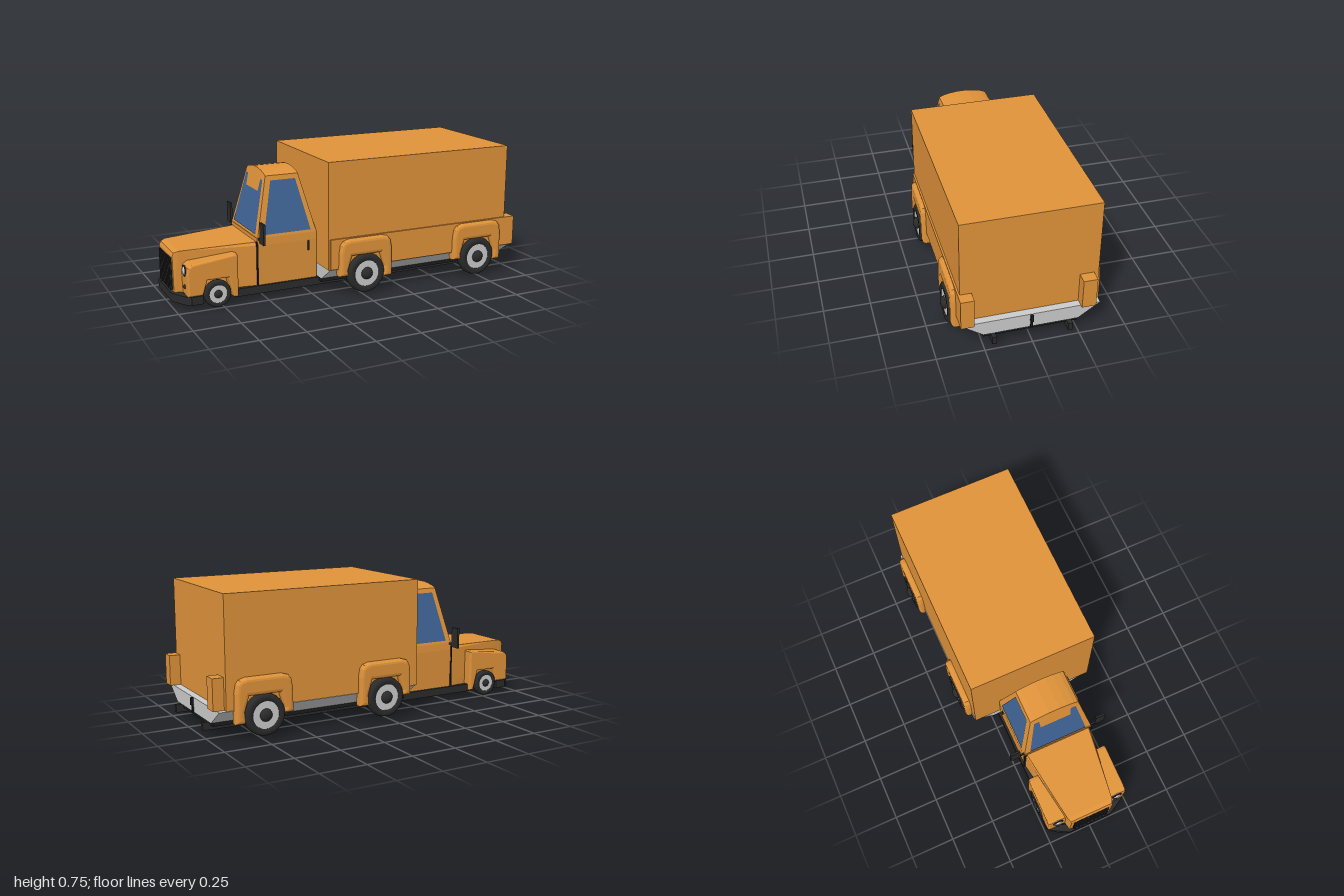
import * as THREE from 'three';
import { ConvexGeometry } from 'three/addons/geometries/ConvexGeometry.js';

const mat = (color, extra = {}) => new THREE.MeshStandardMaterial({ color, ...extra });
const orange = mat(0xe0933a), orangeFlat = mat(0xe0933a, { flatShading: true });
const dark = mat(0x2b2b2b), black = mat(0x1c1c1c), grey = mat(0xcccccc);
const glass = mat(0x3f6496, { side: THREE.DoubleSide });

export function createModel() {
  const truck = new THREE.Group();
  truck.name = 'boxTruck';

  const add = (name, geometry, material, parent = truck) => {
    const mesh = new THREE.Mesh(geometry, material);
    mesh.name = name;
    parent.add(mesh);
    return mesh;
  };
  // Box given by its extents on each axis
  const box = (name, [x0, x1], [y0, y1], [z0, z1], material) =>
    add(name, new THREE.BoxGeometry(x1 - x0, y1 - y0, z1 - z0), material)
      .position.set((x0 + x1) / 2, (y0 + y1) / 2, (z0 + z1) / 2);
  // Convex solid from half its corners, mirrored across z
  const hull = (name, points, material) => add(name, new ConvexGeometry(
    points.flatMap(([x, y, z]) => [new THREE.Vector3(x, y, z), new THREE.Vector3(x, y, -z)])), material);
  const quad = (name, points, material) => {
    const g = new THREE.BufferGeometry();
    g.setAttribute('position', new THREE.Float32BufferAttribute(points.flat(), 3));
    g.setIndex([0, 1, 2, 0, 2, 3]);
    g.computeVertexNormals();
    return add(name, g, material);
  };
  const outline = (points) => new THREE.Shape(points.map(([x, y]) => new THREE.Vector2(x, y)));

  // Cargo box and bed
  box('cargoBox', [-0.2, 0.93], [0.16, 0.75], [-0.36, 0.36], orange);
  box('leftSideRail', [-0.19, 0.99], [0.162, 0.33], [0.3, 0.37], orange);
  box('rightSideRail', [-0.19, 0.99], [0.162, 0.33], [-0.335, -0.26], orange);
  hull('bed', [-0.19, 0.97].flatMap((x) => [[x, 0.161, 0.365], [x, 0.08, 0.25]]), grey);
  box('tailStrip', [0.965, 0.978], [0.08, 0.16], [-0.006, 0.006], black);
  box('tailLatch', [0.97, 0.985], [0.12, 0.16], [-0.007, 0.007], black);

  // Chassis
  box('underPlate', [-0.19, 0.96], [0.06, 0.082], [-0.25, 0.25], black);
  for (const s of [1, -1]) {
    const z = s * 0.2;
    box('chassisRail', [-0.68, 1], [0.035, 0.078], [z - 0.012, z + 0.012], dark);
  }

  // Hood and nose
  hull('hood', [
    [-0.985, 0.075, 0.125], [-0.988, 0.275, 0.125], [-0.98, 0.295, 0.125], [-0.955, 0.305, 0.135],
    [-0.545, 0.075, 0.2], [-0.545, 0.3, 0.2], [-0.545, 0.318, 0.19],
  ], orangeFlat);
  box('grillePanel', [-0.992, -0.98], [0.09, 0.265], [-0.105, 0.105], black);
  for (let i = 0; i < 9; i++) {
    const z = -0.096 + i * 0.024;
    box('grilleBar', [-0.998, -0.985], [0.09, 0.265], [z - 0.004, z + 0.004], dark);
  }

  // Front bumper wrapping around the fenders
  const bumper = new THREE.ExtrudeGeometry(outline([
    [-1, -0.13], [-0.95, -0.22], [-0.925, -0.24], [-0.86, -0.24], [-0.86, -0.21], [-0.93, -0.19],
    [-0.96, -0.1], [-0.96, 0.1], [-0.93, 0.19], [-0.86, 0.21], [-0.86, 0.24], [-0.925, 0.24],
    [-0.95, 0.22], [-1, 0.13],
  ]), { depth: 0.045, bevelEnabled: false });
  bumper.rotateX(Math.PI / 2);
  add('frontBumper', bumper, dark).position.y = 0.08;

  // Cab with arched roof
  hull('cabBody', [-0.545, -0.2].flatMap((x) => [[x, 0.075, 0.2], [x, 0.3, 0.207], [x, 0.34, 0.205]]), orangeFlat);
  const roof = [[0.66, 0.14], [0.671, 0.115], [0.68, 0.075], [0.686, 0.03]];
  hull('cabTop', [[-0.542, 0.34, 0.205], [-0.2, 0.34, 0.205],
    ...roof.flatMap(([y, z]) => [[-0.468, y, z], [-0.28, y, z]])], orangeFlat);
  const slope = (y, a, b) => a + (b - a) * (y - 0.34) / 0.32;
  const lo = 0.355, hi = 0.635;
  const wx = (y) => slope(y, -0.542, -0.468) - 0.004;
  quad('windshield', [[wx(lo), lo, -0.17], [wx(lo), lo, 0.17], [wx(hi), hi, 0.122], [wx(hi), hi, -0.122]], glass);
  for (const s of [1, -1]) {
    const wz = (y) => s * (slope(y, 0.205, 0.14) + 0.004);
    quad('sideWindow', [[-0.505, lo, wz(lo)], [-0.235, lo, wz(lo)], [-0.3, hi, wz(hi)], [-0.443, hi, wz(hi)]], glass);
    const span = (a, b) => [Math.min(s * a, s * b), Math.max(s * a, s * b)];
    box('doorSeam', [-0.549, -0.541], [0.078, 0.32], span(0.19, 0.209), black);
    box('doorHandle', [-0.254, -0.247], [0.24, 0.295], span(0.2, 0.214), dark);
    box('mirrorArm', [-0.54, -0.53], [0.33, 0.342], span(0.19, 0.24), dark);
    box('mirror', [-0.541, -0.529], [0.32, 0.435], span(0.23, 0.287), dark);
  }

  // Fenders: a rounded outline with a wheel arch cut into the lower edge
  const fender = (name, points, z0, z1, bevel, side) => {
    const depth = z1 - z0 - 2 * bevel;
    const g = new THREE.ExtrudeGeometry(outline(points), {
      depth, bevelThickness: bevel, bevelSize: bevel, bevelOffset: -bevel, bevelSegments: 3,
    });
    g.translate(0, 0, -depth / 2);
    add(name, g, orange).position.z = side * (z0 + z1) / 2;
  };
  const rearFender = (cx) => [
    [-0.16, 0.12], [-0.158, 0.25], [-0.15, 0.295], [-0.135, 0.315], [-0.1, 0.325], [0.1, 0.325],
    [0.135, 0.315], [0.15, 0.295], [0.158, 0.25], [0.16, 0.09], [0.105, 0.09], [0.11, 0.15],
    [0.085, 0.23], [-0.085, 0.23], [-0.11, 0.15], [-0.105, 0.12],
  ].map(([x, y]) => [x + cx, y]);
  const frontFender = [
    [-0.94, 0.08], [-0.943, 0.2], [-0.937, 0.235], [-0.915, 0.252], [-0.68, 0.28], [-0.665, 0.275],
    [-0.665, 0.045], [-0.69, 0.045], [-0.705, 0.1], [-0.72, 0.158], [-0.835, 0.158], [-0.86, 0.08],
  ];

  // Wheel: turned tyre, rim disc and domed hub, facing +z
  const wheel = (name, x, r, z, hubR, side) => {
    const g = new THREE.Group();
    g.name = name;
    const w = r * 0.27;
    const tyre = new THREE.LatheGeometry([
      [0.66, -1], [0.88, -1], [0.97, -0.75], [1, -0.3], [1, 0.3], [0.97, 0.75], [0.88, 1], [0.66, 1], [0.66, 0.5],
    ].map(([a, b]) => new THREE.Vector2(a * r, b * w)), 28).rotateX(Math.PI / 2);
    add('tyre', tyre, mat(0x2b2b2b, { side: THREE.DoubleSide }), g);
    add('rim', new THREE.CylinderGeometry(r * 0.68, r * 0.68, w * 1.7, 28).rotateX(Math.PI / 2), grey, g);
    const hub = add('hub', new THREE.SphereGeometry(hubR, 18, 12), dark, g);
    hub.position.z = w * 0.8;
    hub.scale.z = 0.75;
    g.position.set(x, r + (r > 0.1 ? 0.015 : 0.003), z * side);
    if (side < 0) g.rotation.y = Math.PI;
    truck.add(g);
  };

  for (const s of [1, -1]) {
    for (const x of [0.015, 0.73]) {
      fender('rearFender', rearFender(x), 0.33, 0.395, 0.02, s);
      wheel('rearWheel', x, 0.11, 0.368, 0.034, s);
    }
    fender('frontFender', frontFender, 0.125, 0.238, 0.01, s);
    wheel('frontWheel', -0.78, 0.074, 0.222, 0.022, s);

    // Lamps
    const head = add('headlight', new THREE.SphereGeometry(0.026, 18, 12), grey);
    head.position.set(-0.938, 0.212, s * 0.182);
    head.scale.x = 0.6;
    const lampRing = add('headlightRing', new THREE.TorusGeometry(0.026, 0.004, 8, 24).rotateY(Math.PI / 2), dark);
    lampRing.position.set(-0.943, 0.212, s * 0.182);
    add('markerLamp', new THREE.SphereGeometry(0.012, 12, 8), dark).position.set(-0.94, 0.125, s * 0.182);
  }
  return truck;
}
